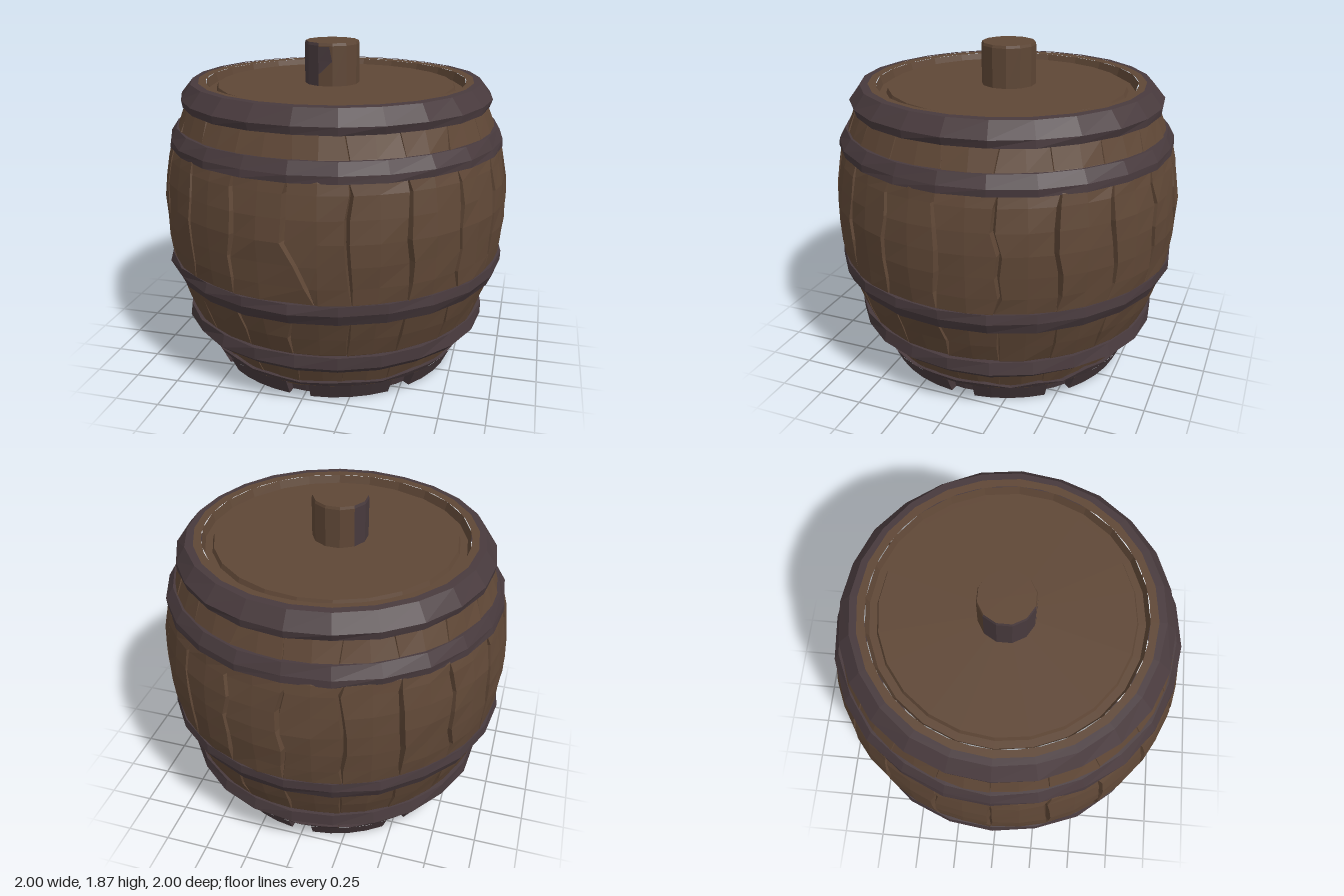
import * as THREE from 'three';

const TAU = Math.PI * 2;
const wood = new THREE.MeshStandardMaterial({ color: 0x5f4736 });
const iron = new THREE.MeshStandardMaterial({ color: 0x483a3d });
wood.name = 'brown wood';
iron.name = 'dark iron';

// repeatable noise in -1..1
function noise(a, b, c = 0) {
  const s = Math.sin(a * 127.1 + b * 311.7 + c * 74.7) * 43758.5453;
  return (s - Math.floor(s)) * 2 - 1;
}

// faceted surface from rows of points; angle 0 faces the front
function loft(rows, cols, point, closed = true) {
  const pos = [], idx = [], n = closed ? cols : cols + 1;
  for (let i = 0; i < rows; i++) {
    for (let j = 0; j < n; j++) {
      const [r, y, a] = point(i, j);
      pos.push(r * Math.sin(a), y, r * Math.cos(a));
    }
  }
  for (let i = 0; i < rows - 1; i++) {
    for (let j = 0; j < cols; j++) {
      const k = (j + 1) % n;
      const a = i * n + j, b = i * n + k, c = a + n, d = b + n;
      idx.push(a, b, d, a, d, c);
    }
  }
  const g = new THREE.BufferGeometry();
  g.setAttribute('position', new THREE.Float32BufferAttribute(pos, 3));
  g.setIndex(idx);
  const flat = g.toNonIndexed();
  flat.computeVertexNormals();
  return flat;
}

function turned(profile, sides, rough = 0, seed = 0) {
  return loft(profile.length, sides, (i, j) => {
    const [r, y] = profile[i];
    const inner = i === 0 || i === profile.length - 1;
    return [r + (inner ? 0 : rough * noise(i, j, seed)), y, (j / sides) * TAU];
  });
}

export function createModel() {
  const group = new THREE.Group();
  const add = (name, geometry, material) => {
    const mesh = new THREE.Mesh(geometry, material);
    mesh.name = name;
    group.add(mesh);
    return mesh;
  };

  // staves: radius, height and groove strength
  const body = [
    [0.735, 0.08, 0], [0.8, 0.23, 0.2], [0.868, 0.35, 0.2], [0.91, 0.46, 0.7],
    [0.945, 0.57, 0.3], [0.973, 0.69, 0.2], [0.985, 0.78, 0.8], [0.994, 0.9, 1],
    [0.997, 1.02, 1], [0.987, 1.14, 1], [0.965, 1.26, 0.8], [0.95, 1.32, 0.2],
    [0.905, 1.42, 0.2], [0.862, 1.53, 0.2], [0.8, 1.655, 0], [0.74, 1.655, 0],
  ];
  const staves = 20, step = TAU / staves;
  add('staves', loft(body.length, staves * 4, (i, j) => {
    const [r, y, g] = body[i];
    const s = Math.floor(j / 4), part = j % 4;
    const w = 0.013 * g + 0.001;
    const offset = [0, w, step / 2, step - w][part];
    const seam = part === 3 ? (s + 1) % staves : s;
    // seams wander a little; the front one slants at its lower end
    let shift = part === 2 || i > 13 ? 0 : 0.018 * noise(seam, i, 3);
    if (seam === 0 && part !== 2 && y > 0.6 && y < 1) shift = (1.02 - y) * 0.42;
    const rough = i > 13 ? 0 : 0.005 * noise(j, i, 1);
    const depth = part === 0 ? 0.045 * g : 0;
    return [r + rough - depth, y, s * step + offset + shift];
  }), wood);

  // hoops
  const hoops = [
    ['lowerHoop', [[0.78, 0.235], [0.845, 0.232], [0.893, 0.275], [0.886, 0.345], [0.84, 0.35]]],
    ['middleHoop', [[0.9, 0.572], [0.96, 0.572], [0.99, 0.635], [0.984, 0.688], [0.93, 0.69]]],
    ['upperHoop', [[0.91, 1.315], [0.957, 1.315], [0.957, 1.355], [0.922, 1.418], [0.87, 1.42]]],
    ['topHoop', [[0.82, 1.53], [0.88, 1.532], [0.888, 1.575], [0.826, 1.657], [0.785, 1.66]]],
  ];
  hoops.forEach(([name, profile], k) => add(name, turned(profile, 24, 0.007, k + 5), iron));

  // notched foot band: eight arcs joined by a ragged upper strip
  const notches = 8, half = 0.085, sector = TAU / notches;
  for (let n = 0; n < notches; n++) {
    const foot = [[0.64, 0], [0.713, 0], [0.76, 0.1]];
    const start = n * sector + half + 0.04 * noise(n, 2);
    const end = (n + 1) * sector - half + 0.04 * noise(n, 4);
    const arc = add('footBand', loft(3, 4, (i, j) =>
      [foot[i][0], foot[i][1], start + (end - start) * j / 4], false), iron);
    arc.name = 'footBand' + (n + 1);
    // end walls of the notch
    for (const [a, flip] of [[start, true], [end, false]]) {
      const order = flip ? [0.76, 0.64] : [0.64, 0.76];
      const wall = loft(2, 1, (i, j) =>
        [order[j] - (i === 0 && order[j] > 0.7 ? 0.047 : 0), i * 0.1, a], false);
      const side = add('notchWall', wall, iron);
      // reverse winding so each wall faces into its notch
      const p = side.geometry.attributes.position;
      for (let t = 0; t < p.count; t += 3) {
        const b = [p.getX(t + 1), p.getY(t + 1), p.getZ(t + 1)];
        p.setXYZ(t + 1, p.getX(t + 2), p.getY(t + 2), p.getZ(t + 2));
        p.setXYZ(t + 2, ...b);
      }
      side.geometry.computeVertexNormals();
    }
  }
  add('footStrip', loft(4, 32, (i, j) => {
    const top = 0.13 + 0.025 * noise(j, 9);
    const y = [0.1, 0.1, top, top][i];
    const r = [0.67, 0.76, 0.765 + (top - 0.1) * 0.42, 0.72][i];
    return [r, y, (j / 32) * TAU];
  }), iron);
  add('footCore', turned([[0.67, 0.002], [0.7, 0.1]], 32), iron);
  add('bottom', turned([[0, 0.002], [0.708, 0.002]], 32), wood);

  // recessed lid
  add('lid', turned([
    [0.74, 1.655], [0.725, 1.605], [0.685, 1.605], [0.675, 1.632], [0, 1.632],
  ], 24), wood);

  // knob with a dark stain on its right side
  const sides = 12;
  const wall = (from, count) => loft(3, count, (i, j) =>
    [[0.155, 0.155, 0.15][i], [1.625, 1.855, 1.87][i], ((from + j) / sides) * TAU], false);
  const knob = new THREE.Group();
  knob.name = 'knob';
  const woodSide = new THREE.Mesh(wall(-0.5, 8), wood);
  woodSide.name = 'knobWood';
  const stain = new THREE.Mesh(wall(7.5, 4), iron);
  stain.name = 'knobStain';
  const cap = new THREE.Mesh(loft(2, sides, (i, j) =>
    [i ? 0 : 0.15, 1.87, ((j - 0.5) / sides) * TAU]), wood);
  cap.name = 'knobTop';
  // ragged front edge of the stain
  const patch = new THREE.Mesh(loft(3, 1, (i, j) =>
    [0.157, [1.7, 1.77, 1.85][i], (j ? [-0.22, 0.25, 0.15][i] : -0.262)], false), iron);
  patch.name = 'knobStainEdge';
  knob.add(woodSide, stain, cap, patch);
  knob.position.x = -0.022;
  group.add(knob);

  return group;
}
